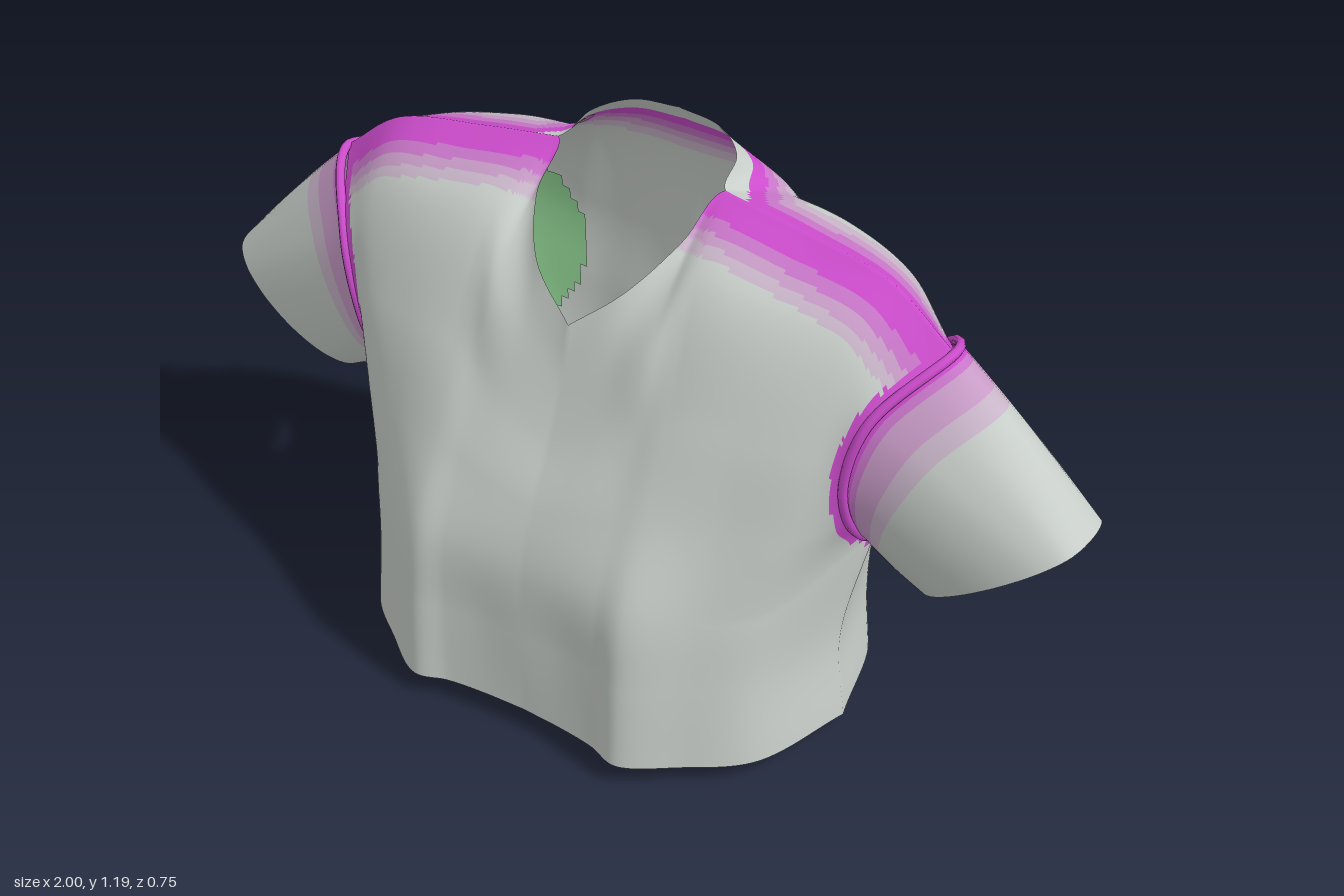
import * as THREE from 'three';
import { mergeVertices } from 'three/addons/utils/BufferGeometryUtils.js';

const V = (x, y, z) => new THREE.Vector3(x, y, z);
const mat = (name, color) => {
  const m = new THREE.MeshStandardMaterial({ color, side: THREE.DoubleSide });
  m.name = name;
  return m;
};
const BASE = 0, STRONG = 1, GREEN = 5, NONE = -1;

// Columns of cloth from hem to top edge, centre to side seam / armhole
const FRONT = [
  [[0, .06, .34], [0, .25, .34], [0, .42, .33], [0, .55, .29], [0, .67, .23], [0, .79, .185], [0, .9, .158]],
  [[.1, .06, .345], [.1, .25, .34], [.1, .42, .335], [.1, .565, .287], [.1, .705, .222], [.1, .855, .168], [.1, .985, .115]],
  [[.18, .06, .355], [.18, .25, .35], [.18, .42, .34], [.18, .58, .28], [.18, .74, .21], [.175, .92, .15], [.165, 1.07, .02]],
  [[.25, .06, .375], [.25, .25, .365], [.25, .42, .345], [.25, .6, .27], [.25, .79, .195], [.23, 1.03, .08], [.19, 1.135, -.09]],
  [[.36, .058, .305], [.355, .25, .3], [.36, .42, .28], [.37, .6, .235], [.37, .8, .18], [.37, 1.025, .075], [.36, 1.115, -.075]],
  [[.475, .055, .205], [.46, .25, .205], [.465, .42, .195], [.49, .6, .175], [.51, .78, .145], [.54, .99, .055], [.56, 1.08, -.06]],
  [[.55, .05, -.02], [.53, .25, -.02], [.57, .51, -.06], [.572, .6, .055], [.574, .73, .1], [.61, .87, .08], [.7, .975, -.06]],
];
const BACK = [
  [[0, .005, -.335], [0, .2, -.335], [0, .42, -.34], [0, .62, -.345], [0, .83, -.34], [0, 1.07, -.3], [0, 1.195, -.225]],
  [[.12, .005, -.345], [.12, .2, -.345], [.12, .42, -.345], [.12, .62, -.35], [.12, .83, -.345], [.12, 1.07, -.3], [.1, 1.187, -.215]],
  [[.22, .01, -.378], [.22, .2, -.37], [.22, .42, -.36], [.22, .62, -.355], [.22, .83, -.35], [.21, 1.065, -.285], [.165, 1.165, -.17]],
  [[.3, .02, -.345], [.3, .2, -.345], [.3, .42, -.345], [.3, .62, -.345], [.3, .84, -.335], [.27, 1.06, -.25], [.19, 1.135, -.09]],
  [[.38, .03, -.31], [.38, .2, -.31], [.385, .42, -.315], [.39, .64, -.325], [.39, .86, -.315], [.385, 1.055, -.235], [.36, 1.115, -.075]],
  [[.47, .04, -.27], [.46, .2, -.265], [.465, .42, -.265], [.485, .6, -.275], [.5, .8, -.28], [.54, 1.01, -.2], [.56, 1.08, -.06]],
  [[.55, .05, -.02], [.53, .25, -.02], [.57, .51, -.06], [.572, .6, -.19], [.574, .73, -.24], [.61, .87, -.22], [.7, .975, -.06]],
];
const COLS = 6, NECK = 3;
const spline = (pts, closed = false) => new THREE.CatmullRomCurve3(pts, closed);
const side = FRONT[COLS], sideBack = BACK[COLS];
const shoulder = spline(FRONT.slice(NECK).map(c => V(...c[6])));
const sideSeam = spline(side.slice(0, 3).map(p => V(...p)));
const armhole = spline([side[6], side[5], side[4], side[3], side[2], sideBack[3], sideBack[4], sideBack[5]]
  .map(p => V(...p)), true);

// Sampled seams used to place the coloured bands
const seams = {
  shoulder: shoulder.getPoints(50),
  neck: spline(BACK.slice(0, NECK + 1).map(c => V(...c[6]))).getPoints(40),
  armhole: armhole.getPoints(70),
};
const near = (p, pts) => Math.sqrt(pts.reduce((m, q) => Math.min(m, p.distanceToSquared(q)), 9));
const band = (d, widths) => {
  const k = widths.findIndex(w => d < w);
  return k < 0 ? BASE : STRONG + k;
};

// Collects coloured grids and turns them into one smooth geometry
function clothBuilder(materials) {
  const pos = [], buckets = materials.map(() => []);
  return {
    grid(f, nu, nv, flip, colour) {
      const start = pos.length / 3, row = nu + 1;
      for (let j = 0; j <= nv; j++)
        for (let i = 0; i <= nu; i++) pos.push(...f(i / nu, j / nv).toArray());
      for (let j = 0; j < nv; j++)
        for (let i = 0; i < nu; i++) {
          const c = colour((i + .5) / nu, (j + .5) / nv);
          if (c === NONE) continue;
          const a = start + j * row + i, b = a + 1, d = a + row, e = d + 1;
          buckets[c].push(...(flip ? [a, e, b, a, d, e] : [a, b, e, a, e, d]));
        }
    },
    mesh(name) {
      let g = new THREE.BufferGeometry();
      g.setAttribute('position', new THREE.Float32BufferAttribute(pos, 3));
      g.setIndex(buckets.flat());
      g = mergeVertices(g, 1e-4);
      let at = 0;
      buckets.forEach((b, k) => {
        if (b.length) g.addGroup(at, b.length, k);
        at += b.length;
      });
      g.computeVertexNormals();
      const m = new THREE.Mesh(g, materials);
      m.name = name;
      return m;
    },
  };
}

// One body panel, lofted across its columns and mirrored about the centre
function addPanel(cloth, lining, columns, isBack) {
  const curves = columns.map(c => spline(c.map(p => V(...p))));
  const cache = new Map();
  const across = v => {
    if (!cache.has(v)) cache.set(v, spline(curves.map(c => c.getPoint(v))));
    return cache.get(v);
  };
  const point = (u, v) => {
    const w = u * 2 - 1, a = Math.abs(w), s = a * COLS - NECK;
    const p = across(v).getPoint(a);
    if (s > 0) { // both panels meet along the same shoulder line
      const fix = shoulder.getPoint(Math.min(1, s / 3)).sub(across(1).getPoint(a));
      p.addScaledVector(fix, v ** 6);
    }
    if (v < 1 / 3) { // and along the same side seam
      const fix = sideSeam.getPoint(v * 3).sub(across(v).getPoint(1));
      p.addScaledVector(fix, a ** 8);
    }
    // soft hanging folds
    if (isBack) p.z += .007 * Math.sin(p.x * 38) * (1 - v) * (1 - a);
    if (w < 0) p.x *= -1;
    return p;
  };
  const underarm = V(.575, .5, -.13);
  const colour = (u, v) => {
    const p = point(u, v);
    p.x = Math.abs(p.x);
    if (isBack && p.distanceTo(underarm) < .055) return GREEN;
    if (near(p, seams.armhole) < .026) return STRONG;
    const ds = near(p, seams.shoulder);
    if (!isBack) return band(ds, [.06, .09, .115, .14]);
    const dn = near(p, seams.neck) - .045;
    return dn < 0 ? BASE : Math.min(band(dn, [.035, .06, .085, .11]) || 9,
      band(ds, [.035, .065, .09, .12]) || 9) % 9;
  };
  cloth.grid(point, COLS * 28, 120, isBack, colour);

  // Green lining inside, around each armhole
  const inside = (u, v) => {
    const p = point(u, v);
    return V(p.x * .978, p.y, (p.z + .05) * .965 - .05);
  };
  lining.grid(inside, COLS * 12, 50, isBack, (u, v) => {
    const p = point(u, v), x = Math.abs(p.x);
    return Math.hypot((x - .6) / .3, (p.y - .74) / .27) < 1 ? GREEN : NONE;
  });
}

// Squarish sleeve opening, matched to the armhole loop
const CUFF = V(.845, .555, -.08);
const cuff = spline(Array.from({ length: 16 }, (_, k) => {
  const a = k * Math.PI / 8, c = Math.cos(a), s = Math.sin(a);
  return V(CUFF.x + c * .155, CUFF.y + c * .115, CUFF.z + Math.sign(s) * Math.abs(s) ** .65 * .122);
}), true);

function buildSleeve(dir, materials) {
  const group = new THREE.Group();
  group.name = dir > 0 ? 'leftSleeve' : 'rightSleeve';
  const core = V(.62, .74, -.07);
  const point = shrink => (u, t) => {
    const a = armhole.getPoint(u % 1), b = cuff.getPoint(u % 1);
    const p = a.clone().lerp(b, t);
    // narrows quickly in depth, then runs straight to the cuff
    p.z = THREE.MathUtils.lerp(a.z, b.z, t ** .5);
    const mid = core.clone().lerp(CUFF, t);
    p.sub(mid).multiplyScalar(shrink * (1 + .03 * Math.sin(Math.PI * t))).add(mid);
    p.x *= dir;
    return p;
  };
  const cloth = clothBuilder(materials);
  cloth.grid(point(1), 64, 48, dir < 0, (u, t) =>
    u > .52 && u < .62 && t > .08 && t < .35 ? GREEN : band(t * .38, [.018, .035, .085, .125]));
  group.add(cloth.mesh('sleeveCloth'));

  // Lining on the front and back walls
  const lining = clothBuilder(materials);
  lining.grid(point(.965), 64, 24, dir < 0, (u, t) => {
    const off = Math.abs(u - .5);
    return off > .06 && off < .4 && t < .97 ? GREEN : NONE;
  });
  group.add(lining.mesh('sleeveLining'));

  // Slim raised seam
  const loop = armhole.getPoints(48).slice(0, 48).map(p => V(p.x * dir, p.y, p.z));
  const seam = new THREE.Mesh(
    new THREE.TubeGeometry(spline(loop, true), 96, .01, 8, true), materials[STRONG]);
  seam.name = 'armholeSeam';
  group.add(seam);
  return group;
}

export function createModel() {
  const materials = [
    mat('greyCloth', 0xc8cec9),
    mat('strongMagenta', 0xcc4ccc),
    mat('midMagenta', 0xc876c8),
    mat('lightMagenta', 0xc89cc7),
    mat('paleMagenta', 0xc9b6c9),
    mat('softGreen', 0x8fd092),
  ];
  const shirt = new THREE.Group();
  shirt.name = 'croppedShirt';

  const body = clothBuilder(materials), lining = clothBuilder(materials);
  addPanel(body, lining, FRONT, false);
  addPanel(body, lining, BACK, true);
  shirt.add(body.mesh('shirtBody'), lining.mesh('bodyLining'));

  for (const dir of [1, -1]) shirt.add(buildSleeve(dir, materials));
  return shirt;
}
